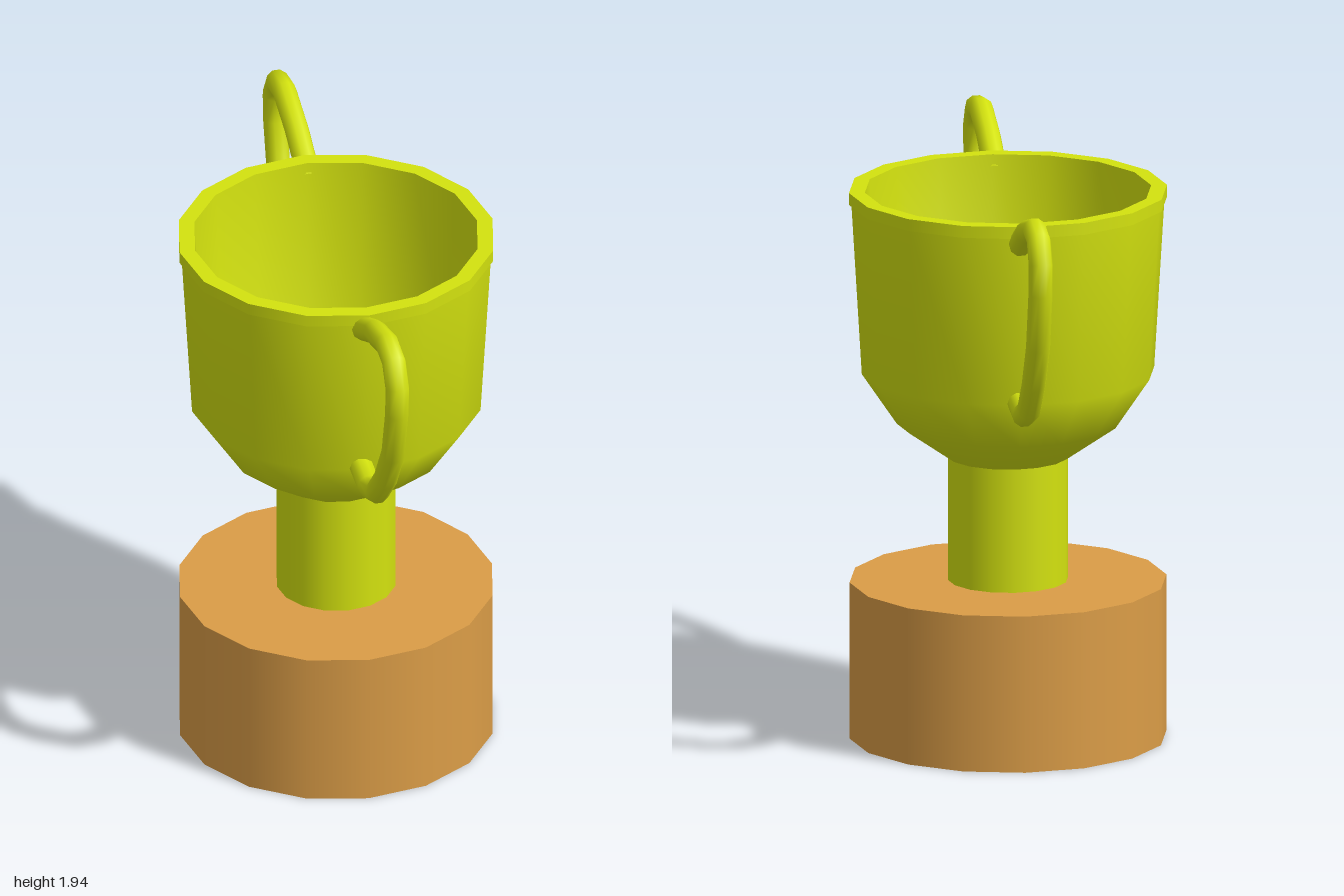
import * as THREE from 'three';

const SIDES = 16;

export function createModel() {
  const trophy = new THREE.Group();
  trophy.name = 'trophyCup';

  const gold = new THREE.MeshStandardMaterial({ color: 0xd3e20f });
  gold.name = 'yellowGold';
  const wood = new THREE.MeshStandardMaterial({ color: 0xdb9d47 });
  wood.name = 'wood';

  const add = (name, geometry, material, parent = trophy) => {
    const mesh = new THREE.Mesh(geometry, material);
    mesh.name = name;
    parent.add(mesh);
    return mesh;
  };
  // Each profile is smooth along its length; separate profiles meet in sharp edges
  const turned = (name, profile, parent) =>
    add(name, new THREE.LatheGeometry(profile.map(([r, y]) => new THREE.Vector2(r, y)), SIDES), gold, parent);

  // Wooden base and stem
  add('base', new THREE.CylinderGeometry(0.52, 0.52, 0.525, SIDES), wood).position.y = 0.2625;
  add('stem', new THREE.CylinderGeometry(0.197, 0.197, 0.43, SIDES), gold).position.y = 0.735;

  // Bowl: outer wall, overhanging lip, flat rim and hollow inside
  const bowl = new THREE.Group();
  bowl.name = 'bowl';
  trophy.add(bowl);
  turned('bowlOutside', [[0.2, 0.94], [0.365, 1.055], [0.48, 1.225], [0.514, 1.795]], bowl);
  turned('lipUnderside', [[0.505, 1.795], [0.522, 1.795]], bowl);
  turned('lipEdge', [[0.522, 1.795], [0.522, 1.835]], bowl);
  turned('rim', [[0.522, 1.835], [0.47, 1.835]], bowl);
  turned('bowlInside', [[0.47, 1.835], [0.435, 1.235], [0.33, 1.085], [0.17, 0.98], [0, 0.965]], bowl);

  // Handles: one looping path in (z, y), leaning slightly sideways, repeated half a turn round
  const path = [
    [0.48, 1.765], [0.51, 1.78], [0.655, 1.852], [0.82, 1.9], [0.917, 1.885], [0.962, 1.815],
    [0.955, 1.72], [0.9, 1.53], [0.8, 1.38], [0.685, 1.262], [0.575, 1.217], [0.455, 1.232],
  ];
  const curve = new THREE.CatmullRomCurve3(
    path.map(([z, y]) => new THREE.Vector3((z - 0.86) * 0.033, y, z)));
  // Place the tube's rings exactly on the path points
  curve.getPointAt = curve.getPoint;
  curve.getTangentAt = curve.getTangent;
  const handle = new THREE.TubeGeometry(curve, path.length - 1, 0.04, 10);
  add('frontHandle', handle, gold);
  add('backHandle', handle, gold).rotation.y = Math.PI;

  return trophy;
}
